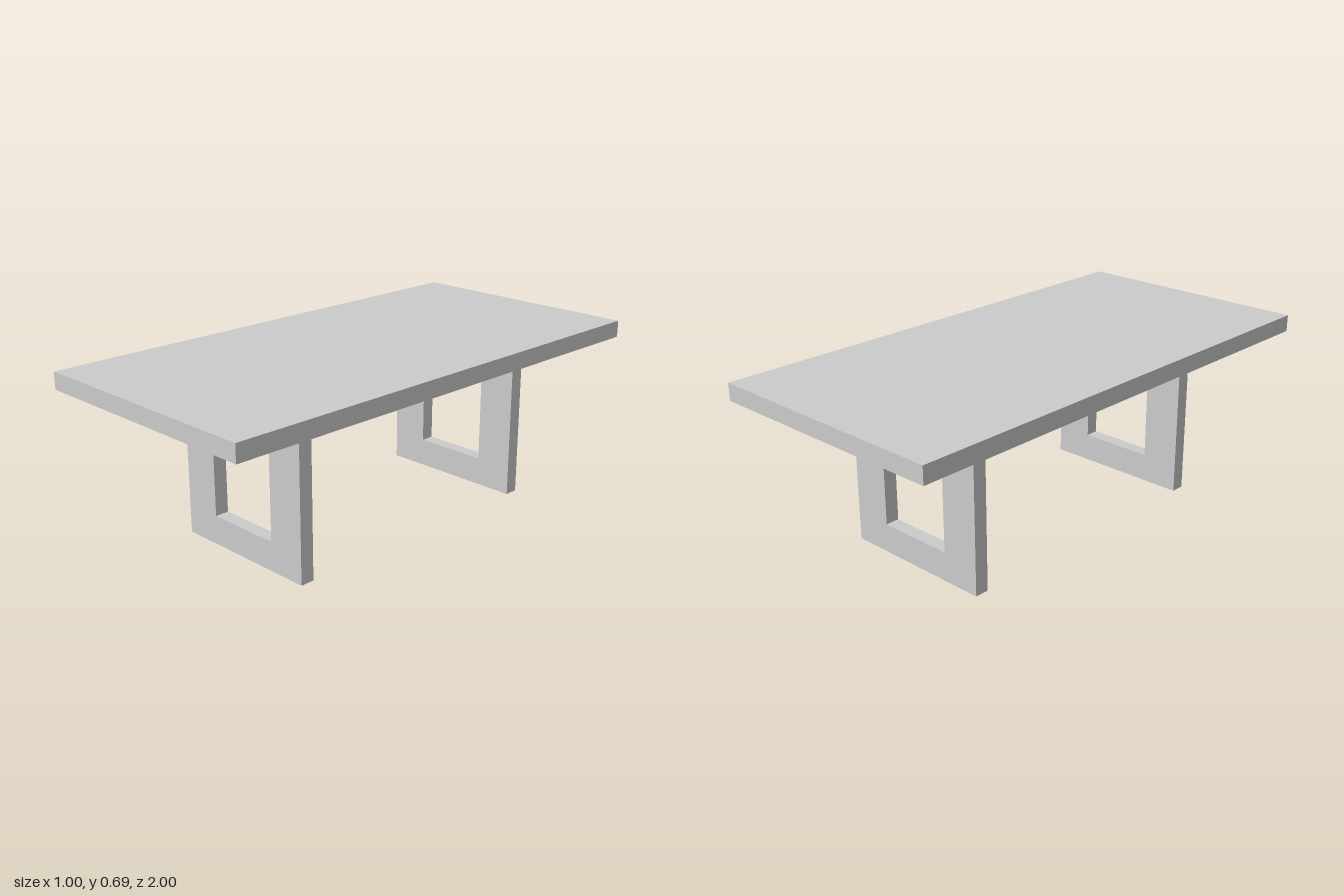
import * as THREE from 'three';

const TOP = 0.69, UNDER = 0.623;      // table top heights
const OUTER = 0.312, INNER = 0.156;   // half widths of the leg frame
const RAIL = 0.115;                   // height of the floor rail

export function createModel() {
  const model = new THREE.Group();
  model.name = 'table';
  const material = new THREE.MeshStandardMaterial({ color: 0xcccccc, flatShading: true });

  // Rectangular slab
  const tabletop = new THREE.Mesh(new THREE.BoxGeometry(1, TOP - UNDER, 2), material);
  tabletop.name = 'tabletop';
  tabletop.position.y = (TOP + UNDER) / 2;
  model.add(tabletop);

  // U-shaped leg frame: two uprights joined by a floor rail
  const outline = new THREE.Shape([
    [-OUTER, 0], [OUTER, 0], [OUTER, UNDER], [INNER, UNDER],
    [INNER, RAIL], [-INNER, RAIL], [-INNER, UNDER], [-OUTER, UNDER],
  ].map(([x, y]) => new THREE.Vector2(x, y)));

  const addLegFrame = (name, zBack, zFront) => {
    const geometry = new THREE.ExtrudeGeometry(outline, { depth: zFront - zBack, bevelEnabled: false });
    const frame = new THREE.Mesh(geometry, material);
    frame.name = name;
    frame.position.z = zBack;
    model.add(frame);
  };
  addLegFrame('frontLegFrame', 0.528, 0.584);
  addLegFrame('backLegFrame', -0.615, -0.559);

  return model;
}
